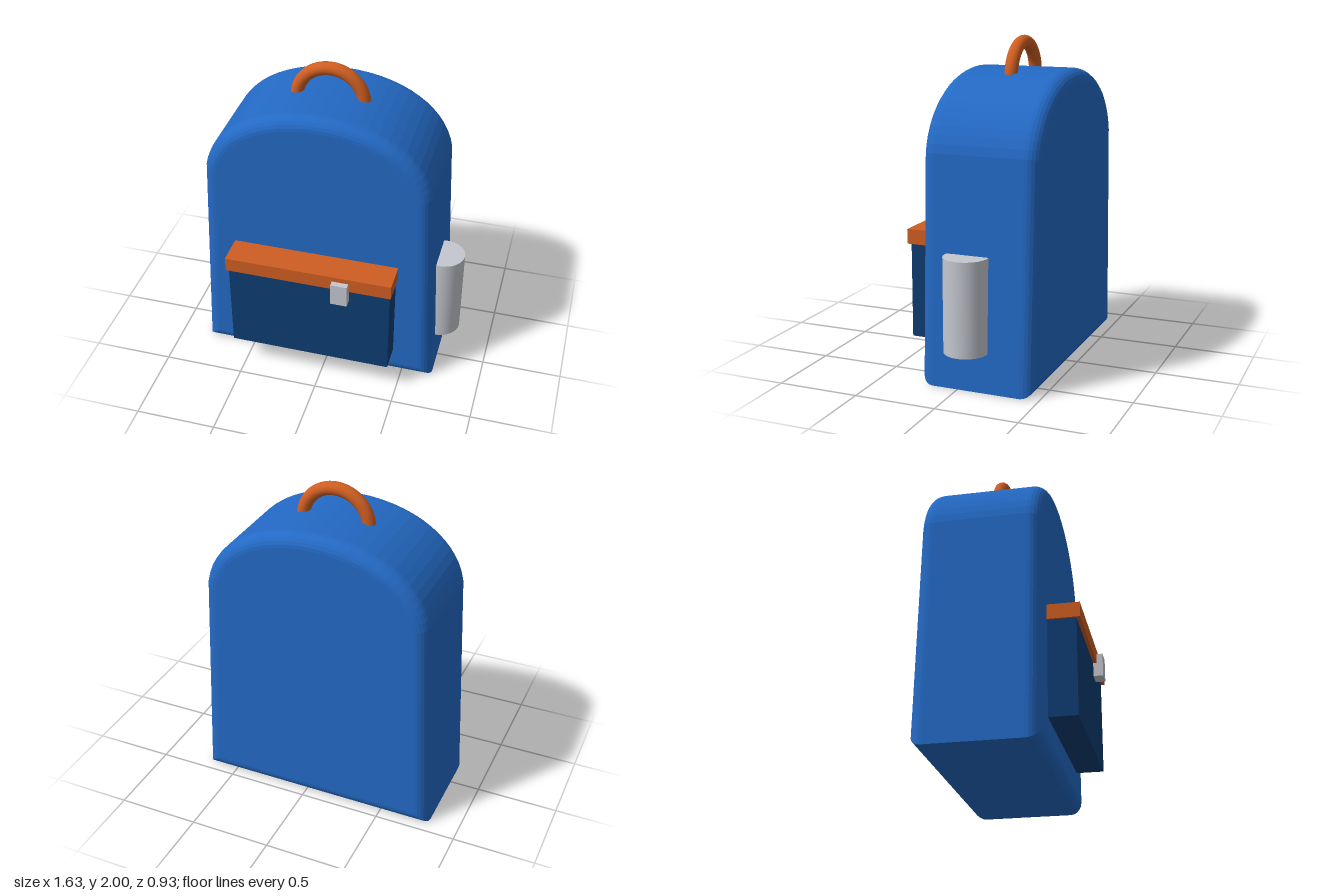
import * as THREE from 'three';

const paint = (name, color) => {
  const m = new THREE.MeshStandardMaterial({ color });
  m.name = name;
  return m;
};

export function createModel() {
  const blue = paint('blue fabric', 0x2369c4);
  const navy = paint('navy fabric', 0x0d3d72);
  const orange = paint('orange trim', 0xcf5e22);
  const silver = paint('silver', 0xc4c7cf);

  const model = new THREE.Group();
  model.name = 'backpack';

  const add = (name, geometry, material, x = 0, y = 0, z = 0) => {
    const mesh = new THREE.Mesh(geometry, material);
    mesh.name = name;
    mesh.position.set(x, y, z);
    model.add(mesh);
    return mesh;
  };

  // box given by its lower and upper corners
  const addBox = (name, material, [x0, y0, z0], [x1, y1, z1]) =>
    add(name, new THREE.BoxGeometry(x1 - x0, y1 - y0, z1 - z0), material,
      (x0 + x1) / 2, (y0 + y1) / 2, (z0 + z1) / 2);

  const midX = -0.06;

  // main bag: tapered sides, domed top, rounded front and back edges
  const outline = new THREE.Shape();
  outline.moveTo(-0.755, 0);
  outline.lineTo(0.755, 0);
  outline.lineTo(0.695, 1.37);
  outline.bezierCurveTo(0.65, 1.62, 0.38, 1.81, 0, 1.81);
  outline.bezierCurveTo(-0.38, 1.81, -0.65, 1.62, -0.695, 1.37);
  outline.closePath();
  const back = -0.467, front = 0.241, bevel = 0.08;
  const bag = new THREE.ExtrudeGeometry(outline, {
    depth: front - back - 2 * bevel,
    bevelThickness: bevel,
    bevelSize: bevel,
    bevelOffset: -bevel,
    bevelSegments: 6,
    curveSegments: 14,
  });
  add('bag', bag, blue, midX, 0, back + bevel);

  // carrying handle
  add('handle', new THREE.TorusGeometry(0.205, 0.04, 16, 32, Math.PI), orange, midX, 1.755, -0.112);

  // front pocket with flap and buckle
  addBox('frontPocket', navy, [-0.567, 0.195, 0.2], [0.446, 0.79, 0.408]);
  addBox('pocketFlap', orange, [-0.579, 0.775, 0.2], [0.457, 0.865, 0.43]);
  addBox('buckle', silver, [0.095, 0.69, 0.408], [0.197, 0.834, 0.467]);

  // bottle set into the left side
  add('sideBottle', new THREE.CylinderGeometry(0.132, 0.132, 0.565, 32), silver, 0.683, 0.518, -0.054);

  return model;
}
